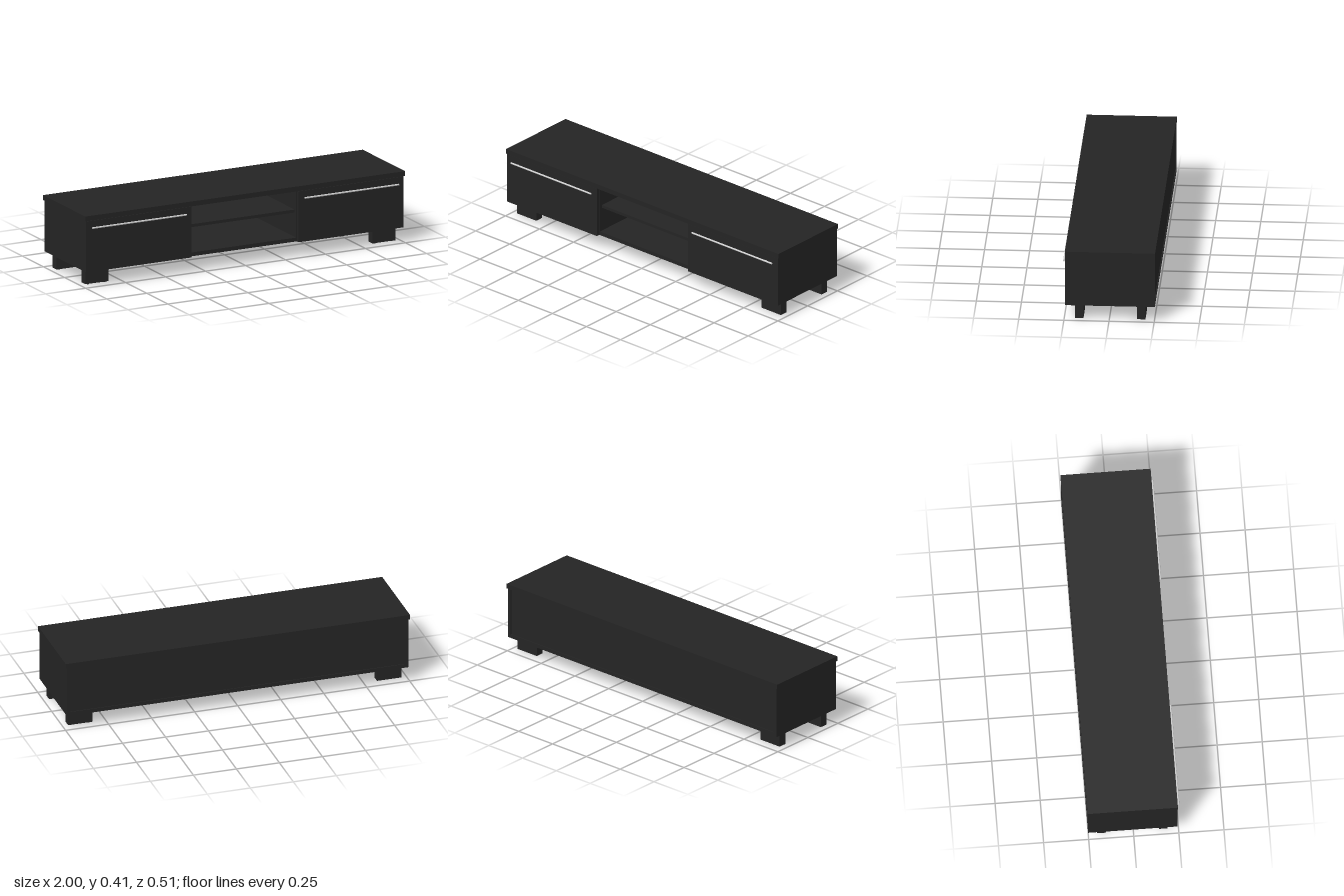
import * as THREE from 'three';

export function createModel() {
  const model = new THREE.Group();
  const black = new THREE.MeshStandardMaterial({ color: 0x242424 });
  const grey = new THREE.MeshStandardMaterial({ color: 0xcccccc });

  // box given by its limits on each axis
  function box(name, [x0, x1], [y0, y1], [z0, z1]) {
    const mesh = new THREE.Mesh(new THREE.BoxGeometry(x1 - x0, y1 - y0, z1 - z0), black);
    mesh.position.set((x0 + x1) / 2, (y0 + y1) / 2, (z0 + z1) / 2);
    mesh.name = name;
    model.add(mesh);
  }
  // box on the left side (+x) and its mirror on the right
  function pair(name, [x0, x1], y, z) {
    box(name + 'Left', [x0, x1], y, z);
    box(name + 'Right', [-x1, -x0], y, z);
  }
  function rod(name, radius, length, axis, x, y, z, material) {
    const geometry = new THREE.CylinderGeometry(radius, radius, length, 16);
    if (axis === 'x') geometry.rotateZ(Math.PI / 2);
    if (axis === 'z') geometry.rotateX(Math.PI / 2);
    const mesh = new THREE.Mesh(geometry, material);
    mesh.position.set(x, y, z);
    mesh.name = name;
    model.add(mesh);
  }

  // carcass
  box('topPanel', [-1, 1], [0.382, 0.41], [-0.255, 0.245]);
  pair('sidePanel', [0.972, 0.993], [0.088, 0.382], [-0.253, 0.222]);
  box('bottomPanel', [-0.972, 0.972], [0.088, 0.11], [-0.253, 0.222]);
  box('backPanel', [-0.972, 0.972], [0.11, 0.382], [-0.248, -0.242]);
  pair('divider', [0.331, 0.352], [0.11, 0.382], [-0.242, 0.222]);
  box('shelf', [-0.331, 0.331], [0.25, 0.267], [-0.242, 0.205]);

  // drawer fronts
  pair('drawerFront', [0.335, 0.993], [0.088, 0.38], [0.222, 0.243]);

  for (const side of [-1, 1]) {
    // bar handles on two short posts
    rod('handleBar', 0.005, 0.588, 'x', side * 0.664, 0.34, 0.252, grey);
    for (const x of [0.42, 0.908]) rod('handlePost', 0.0025, 0.01, 'z', side * x, 0.34, 0.247, grey);
  }

  // feet with small glide pads
  for (const [z0, z1] of [[0.143, 0.19], [-0.2, -0.152]]) {
    pair('foot', [0.826, 0.969], [0.004, 0.088], [z0, z1]);
    for (const side of [-1, 1])
      for (const x of [0.845, 0.95])
        for (const z of [z0 + 0.012, z1 - 0.012])
          rod('glidePad', 0.0065, 0.004, 'y', side * x, 0.002, z, black);
  }
  return model;
}
